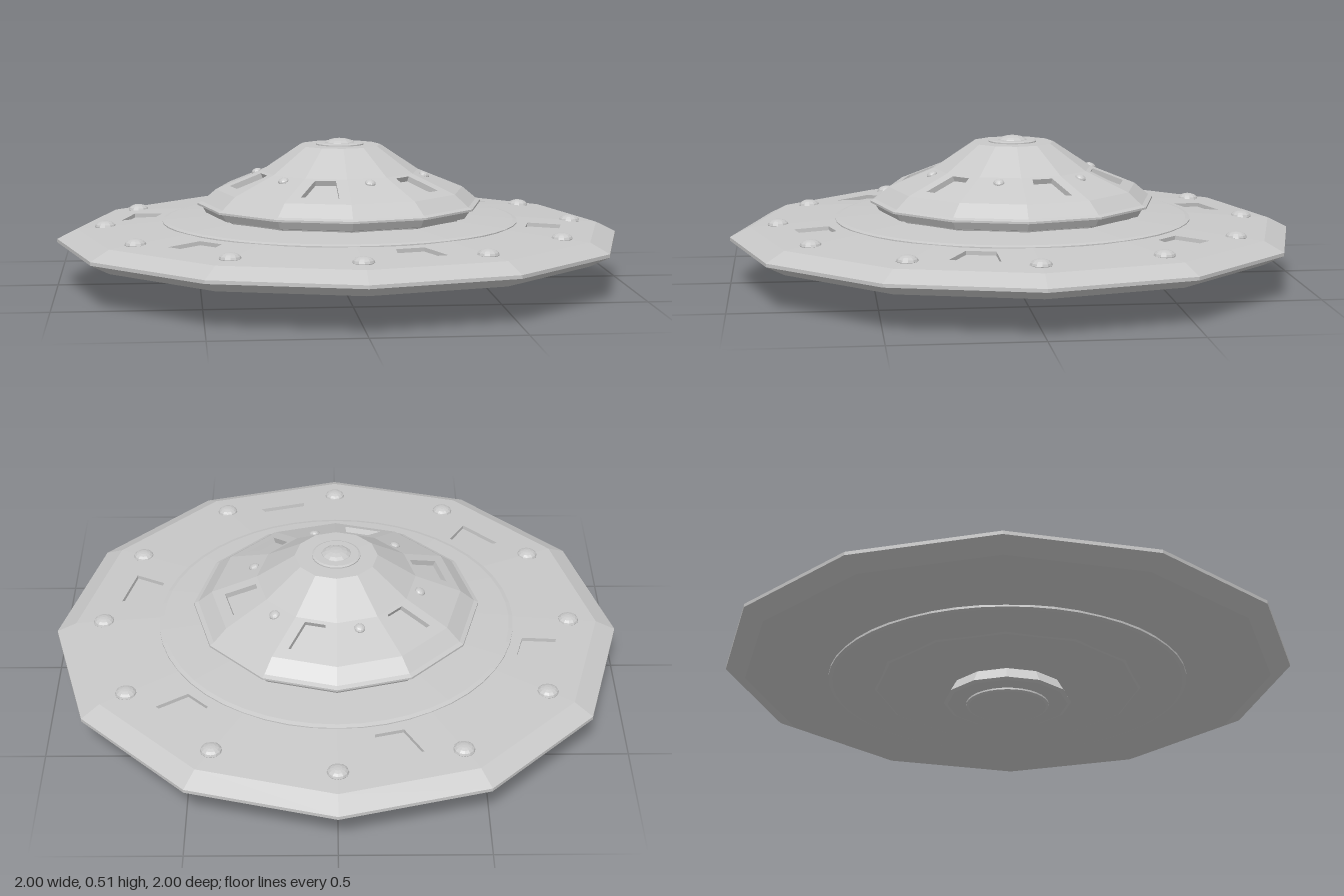
import * as THREE from 'three';

const SIDES = 12;
const STEP = (Math.PI * 2) / SIDES;
const COS = Math.cos(STEP / 2), SIN = Math.sin(STEP / 2);

// Give every face its own flat normal
function faceted(geometry) {
  const g = geometry.index ? geometry.toNonIndexed() : geometry;
  g.computeVertexNormals();
  return g;
}

// Profile points run from bottom to top so that faces point outward
function lathe(points, segments = SIDES) {
  return faceted(new THREE.LatheGeometry(points.map(([r, y]) => new THREE.Vector2(r, y)), segments));
}

// Symmetric trapezoid: half-widths a (bottom) and b (top)
const trapezoid = (Type, a, y0, b, y1) => new Type([
  new THREE.Vector2(-a, y0), new THREE.Vector2(a, y0),
  new THREE.Vector2(b, y1), new THREE.Vector2(-b, y1),
]);

export function createModel() {
  const model = new THREE.Group();
  const hull = new THREE.MeshStandardMaterial({ color: 0xc8c8c8 });
  hull.name = 'hullGrey';

  function add(name, geometry, parent = model) {
    const mesh = new THREE.Mesh(geometry, hull);
    mesh.name = name;
    parent.add(mesh);
    return mesh;
  }

  // Ring of sloping panels; every second one has a sunken trapezoid window
  function panelRing(name, outer, inner, win, depth, parity) {
    const ring = new THREE.Group();
    ring.name = name;
    const [r0, y0] = outer, [r1, y1] = inner;
    const run = (r0 - r1) * COS, rise = y1 - y0;
    const length = Math.hypot(run, rise);
    const along = (apothem) => ((r0 * COS - apothem) / run) * length;
    const place = (g) => g.rotateX(-Math.atan2(run, rise)).translate(0, y0, r0 * COS);

    for (let i = 0; i < SIDES; i++) {
      const panel = new THREE.Group();
      panel.name = name + 'Section';
      panel.rotation.y = (i + 0.5) * STEP;
      ring.add(panel);
      const shape = trapezoid(THREE.Shape, r0 * SIN, 0, r1 * SIN, length);
      if (i % 2 !== parity) {
        add('plainPanel', place(faceted(new THREE.ShapeGeometry(shape))), panel);
        continue;
      }
      const opening = [win.outerHalf, along(win.outer), win.innerHalf, along(win.inner)];
      shape.holes.push(trapezoid(THREE.Path, ...opening));
      const frame = new THREE.ExtrudeGeometry(shape, { depth, bevelEnabled: false });
      add('windowFrame', place(frame.translate(0, 0, -depth)), panel);
      const floor = new THREE.ShapeGeometry(trapezoid(THREE.Shape, ...opening));
      add('windowFloor', place(floor.translate(0, 0, -depth * 0.98)), panel);
    }
    model.add(ring);
  }

  // Flattened round lights
  function light(name, radius, height, x, y, z) {
    const g = faceted(new THREE.SphereGeometry(radius, 12, 8));
    g.scale(1, height / radius, 1);
    const mesh = add(name, g);
    mesh.position.set(x, y, z);
    return mesh;
  }

  // Main disc: underside, rim and bevel
  add('discUnderside', lathe([
    [0, 0.055], [0.46, 0.068], [0.49, 0.08], [0.93, 0.118], [1, 0.153], [1, 0.165], [0.93, 0.2],
  ]));
  panelRing('discTop', [0.93, 0.2], [0.42, 0.24],
    { outer: 0.78, outerHalf: 0.085, inner: 0.665, innerHalf: 0.05 }, 0.014, 0);

  // Thin round steps above and below the disc
  add('upperRing', lathe([[0.63, 0.21], [0.63, 0.226], [0.615, 0.23], [0.42, 0.244]], 48));
  add('lowerRing', lathe([[0.44, 0.07], [0.615, 0.082], [0.63, 0.086], [0.63, 0.1]], 48));

  // Dome: neck, lip, lower slope
  add('domeBase', lathe([
    [0.44, 0.225], [0.45, 0.247], [0.475, 0.252], [0.49, 0.278], [0.505, 0.28], [0.505, 0.287],
    [0.49, 0.293], [0.44, 0.335],
  ]));
  panelRing('domeWindows', [0.44, 0.335], [0.28, 0.4],
    { outer: 0.388, outerHalf: 0.066, inner: 0.283, innerHalf: 0.036 }, 0.02, 1);
  add('domeCrown', lathe([[0.28, 0.4], [0.145, 0.49], [0, 0.492]]));

  // Cap plate and knob
  add('capRing', lathe([[0.085, 0.485], [0.085, 0.495], [0.078, 0.498], [0, 0.498]], 24));
  light('topKnob', 0.055, 0.022, 0, 0.491, 0);

  // Underside hub
  add('hub', lathe([[0, 0.012], [0.21, 0.012], [0.225, 0.018], [0.2, 0.062]]));
  add('hubPlate', lathe([[0, 0], [0.135, 0.002], [0.145, 0.006], [0.145, 0.02]], 32));

  // Lights around the rim and between the dome windows
  for (let i = 0; i < SIDES; i++) {
    const a = i * STEP;
    light('rimLight', 0.037, 0.02, 0.83 * Math.sin(a), 0.207, 0.83 * Math.cos(a));
    if (i % 2 === 0) {
      const b = a + STEP / 2;
      const lamp = light('domeLight', 0.019, 0.012, 0.302 * Math.sin(b), 0.387, 0.302 * Math.cos(b));
      lamp.rotation.set(0.4, b, 0, 'YXZ');
    }
  }
  return model;
}
